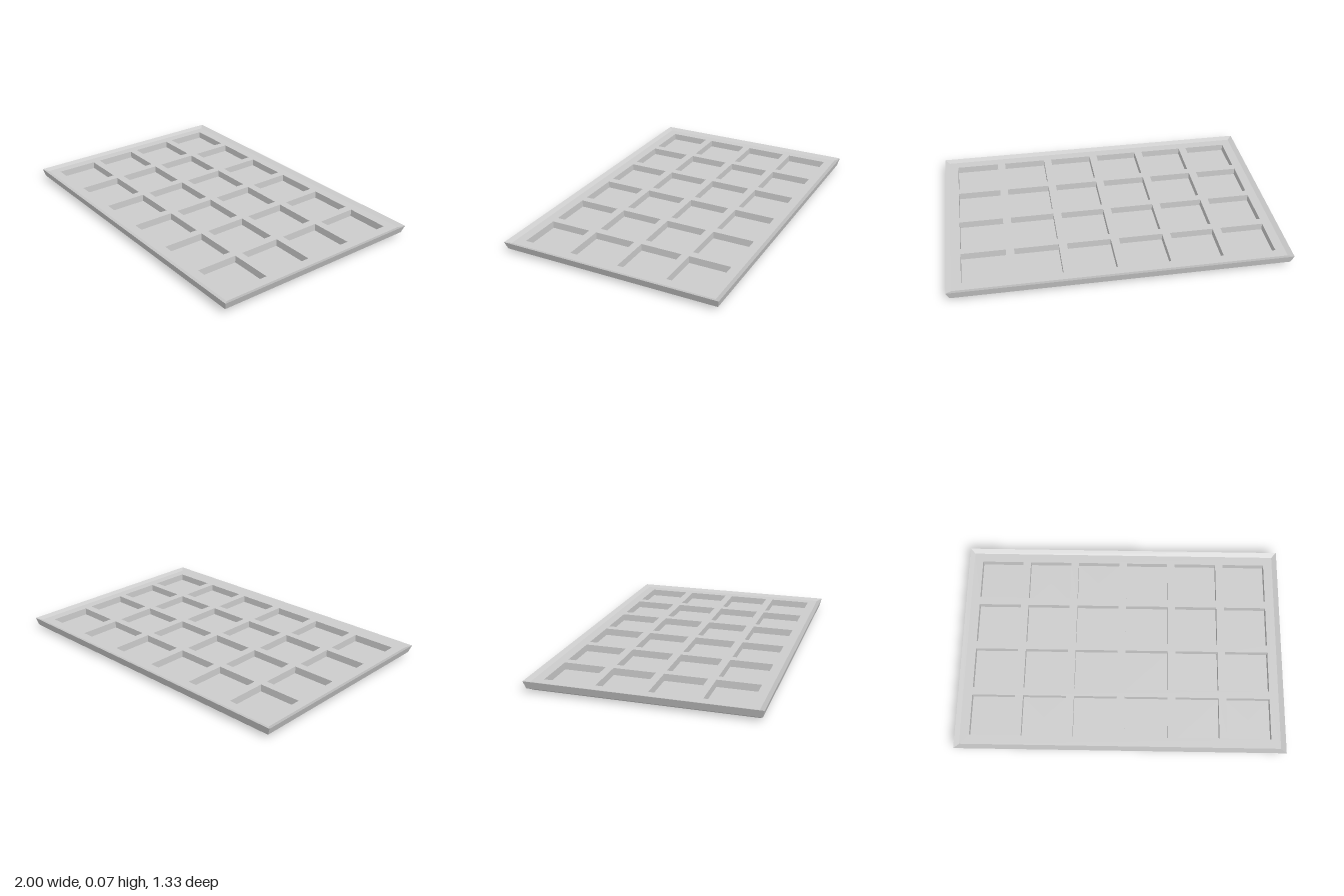
import * as THREE from 'three';

const CORNERS = [[1, 1], [1, -1], [-1, -1], [-1, 1]];

// Skin a stack of rectangles [halfX, halfZ, y]; a zero-size rectangle closes the end.
function rectLoft(rings) {
  const pos = [];
  const corner = ([hx, hz, y], k) => {
    const [sx, sz] = CORNERS[k % 4];
    return [sx * hx, y, sz * hz];
  };
  for (let i = 0; i < rings.length - 1; i++) {
    const a = rings[i], b = rings[i + 1];
    for (let k = 0; k < 4; k++) {
      if (a[0] > 0) pos.push(...corner(a, k), ...corner(a, k + 1), ...corner(b, k + 1));
      if (b[0] > 0) pos.push(...corner(a, k), ...corner(b, k + 1), ...corner(b, k));
    }
  }
  const geo = new THREE.BufferGeometry();
  geo.setAttribute('position', new THREE.Float32BufferAttribute(pos, 3));
  geo.computeVertexNormals();
  return geo;
}

// Rectangle outline for shapes and holes
function rectPoints(cx, cy, hx, hy) {
  return CORNERS.map(([sx, sy]) => new THREE.Vector2(cx + sx * hx, cy + sy * hy));
}

export function createModel() {
  const group = new THREE.Group();
  const material = new THREE.MeshStandardMaterial({ color: 0xcccccc, flatShading: true });
  const add = (name, geo, parent = group) => {
    const mesh = new THREE.Mesh(geo, material);
    mesh.name = name;
    parent.add(mesh);
    return mesh;
  };

  const deckY = 0.058, floorY = 0.015;
  const deckX = 0.97, deckZ = 0.637;
  const wellX = 0.132, wellZ = 0.127;
  const pitchX = 0.313, pitchZ = 0.302;

  // Outer body: flat base, lower bevel, flared side, sharp rim and inner slope
  add('trayBody', rectLoft([
    [0, 0, 0], [0.94, 0.627, 0], [0.983, 0.656, 0.024], [1, 0.667, 0.07], [deckX, deckZ, deckY],
  ]));

  // Deck pierced by a 6 x 4 grid of wells
  const deck = new THREE.Shape(rectPoints(0, 0, deckX, deckZ));
  const wells = new THREE.Group();
  wells.name = 'wells';
  group.add(wells);
  const wellGeo = rectLoft([[wellX, wellZ, deckY], [wellX, wellZ, floorY], [0, 0, floorY]]);
  for (let row = 0; row < 4; row++) {
    for (let col = 0; col < 6; col++) {
      const x = (col - 2.5) * pitchX, z = (row - 1.5) * pitchZ;
      deck.holes.push(new THREE.Path(rectPoints(x, -z, wellX, wellZ)));
      add('well', wellGeo, wells).position.set(x, 0, z);
    }
  }
  const deckGeo = new THREE.ShapeGeometry(deck);
  deckGeo.rotateX(-Math.PI / 2);
  deckGeo.translate(0, deckY, 0);
  add('deck', deckGeo);

  return group;
}
